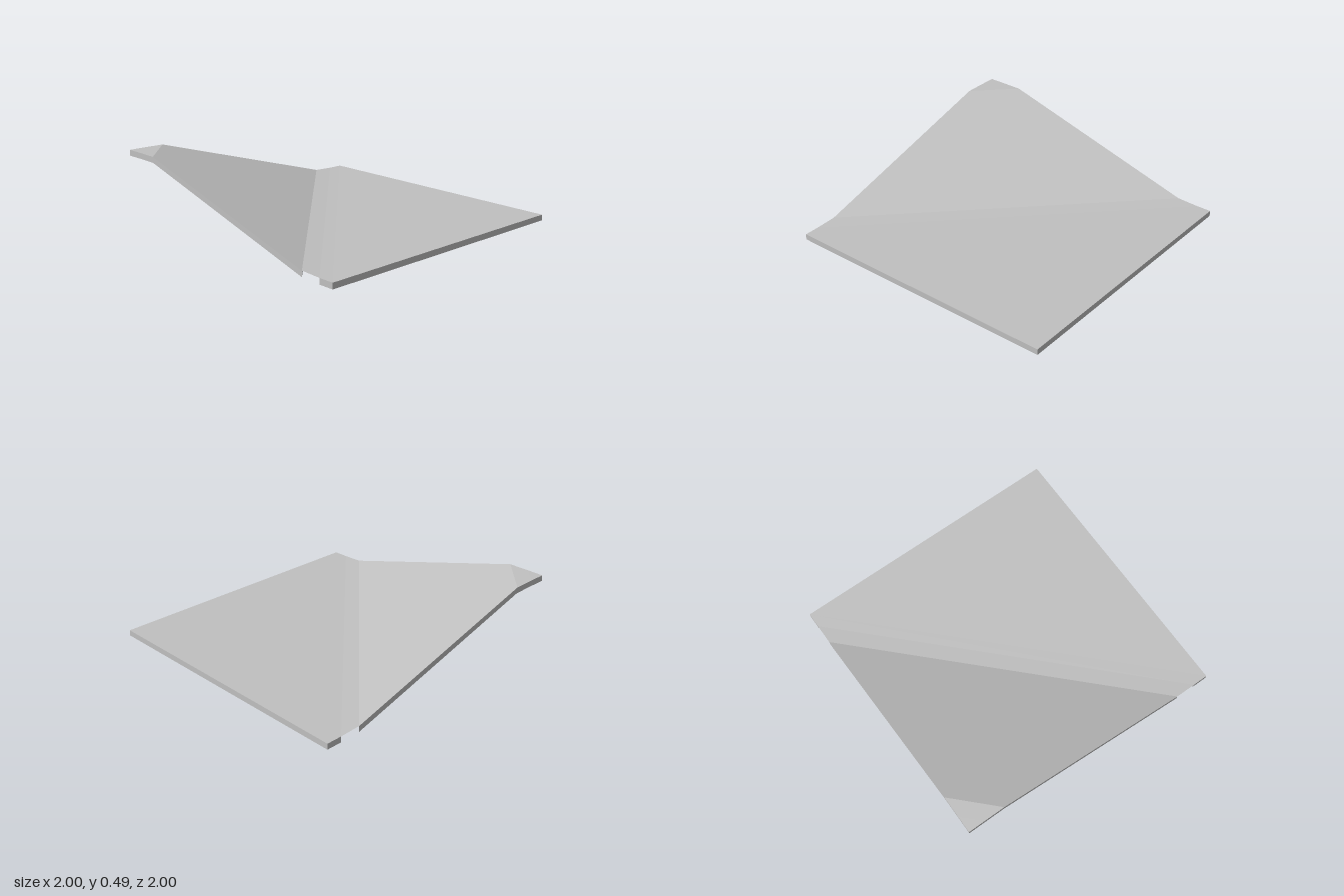
import * as THREE from 'three';

// Sheet-metal roof corner: stations run along the diagonal, s = x - z, from the raised corner (-2) to the middle (0)
const stations = [[-2, 0.489], [-1.88, 0.488], [-1.73, 0.485], [-0.26, 0.05], [-0.11, 0.043], [0, 0.042]];
const depth = 0.041;

const gray = new THREE.MeshStandardMaterial({ color: 0xc0c0c0, side: THREE.DoubleSide });
gray.name = 'gray';

// Mesh from flat polygons with three or four corners
function sheet(name, polygons) {
  const points = [];
  for (const [a, b, c, d] of polygons) {
    points.push(...a, ...b, ...c);
    if (d) points.push(...a, ...c, ...d);
  }
  const geometry = new THREE.BufferGeometry();
  geometry.setAttribute('position', new THREE.Float32BufferAttribute(points, 3));
  geometry.computeVertexNormals();
  const mesh = new THREE.Mesh(geometry, gray);
  mesh.name = name;
  return mesh;
}

// Station points on the front edge and on the x = -1 edge
const front = ([s, y]) => [1 + s, y, 1];
const side = ([s, y]) => [-1, y, -1 - s];
const drop = ([x, y, z]) => [x, Math.max(0, y - depth), z];
const wall = (a, b) => [drop(a), drop(b), b, a];

export function createModel() {
  const group = new THREE.Group();
  group.name = 'cornerRamp';

  const names = ['raisedCorner', 'upperBend', 'slope', 'lowerBend', 'flatEdge'];
  names.forEach((name, i) => {
    const a = stations[i], b = stations[i + 1];
    // Top skin
    const top = i === 0
      ? [front(a), front(b), side(b)]
      : [front(a), front(b), side(b), side(a)];
    group.add(sheet(name, [top]));
    // Hanging rim at both ends; the lower bend is left open
    if (name !== 'lowerBend') {
      group.add(sheet(name + 'Rim', [wall(front(a), front(b)), wall(side(b), side(a))]));
    }
    // Cross rib where two panels meet
    if (i > 0) group.add(sheet(name + 'Rib', [wall(side(a), front(a))]));
  });

  // Flat half beyond the diagonal, with its outer rim
  const y = stations[5][1];
  const p = [1, y, 1], q = [1, y, -1], r = [-1, y, -1];
  group.add(sheet('flatPanel', [[p, q, r]]));
  group.add(sheet('flatPanelRim', [wall(p, q), wall(q, r)]));
  return group;
}
